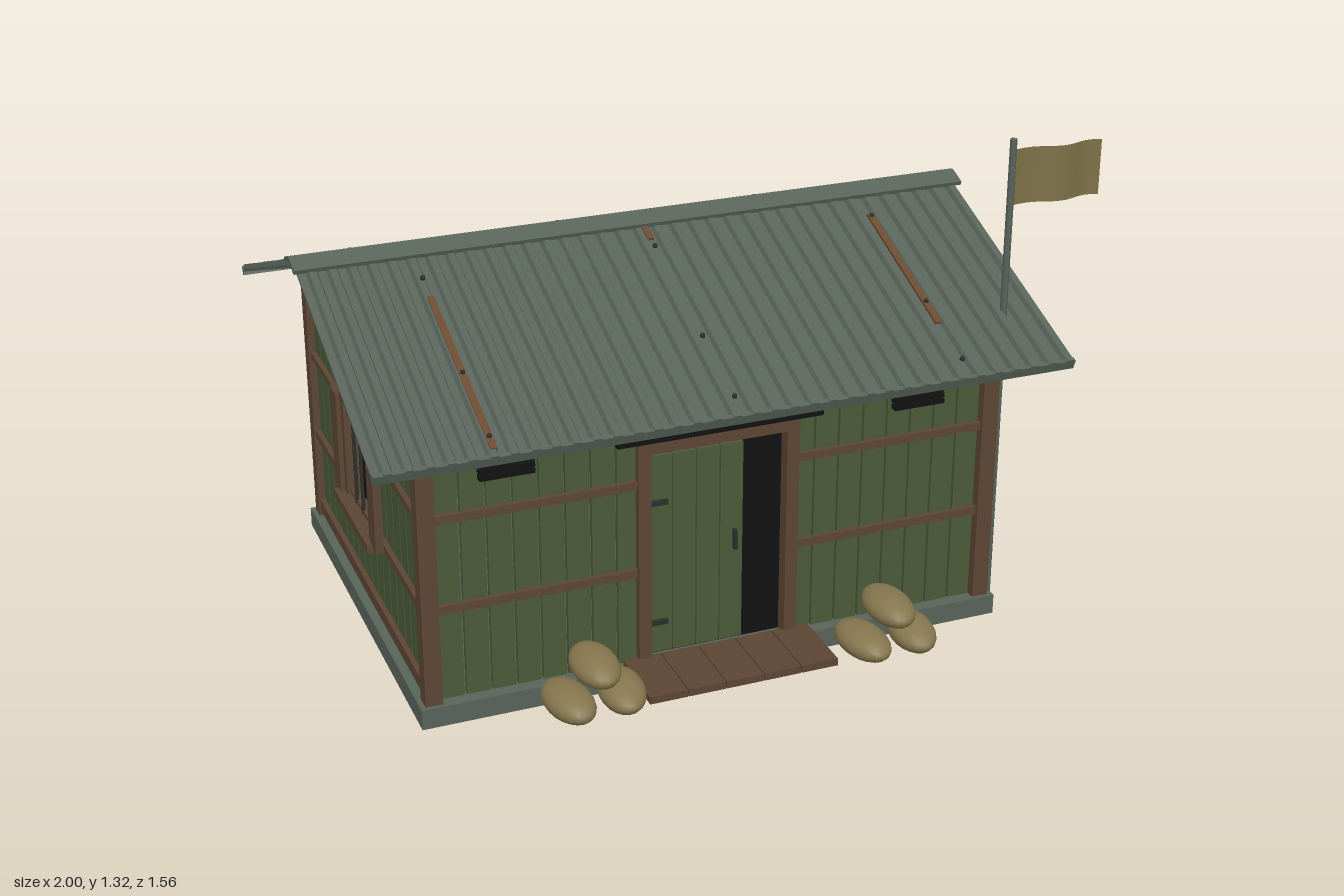
import * as THREE from 'three';

const mat = (name, color) => {
  const m = new THREE.MeshStandardMaterial({ color });
  m.name = name;
  return m;
};

export function createModel() {
  const green = mat('green paint', 0x4a5a38);
  const wood = mat('brown timber', 0x5c4634);
  const metal = mat('grey green metal', 0x58635a);
  const tan = mat('tan canvas', 0x85764e);
  const black = mat('black', 0x111111);
  const rust = mat('rust', 0x6b4a30);
  const dark = mat('dark iron', 0x2c302c);
  const cloth = mat('flag cloth', 0x7d7148);
  cloth.side = THREE.DoubleSide;

  const model = new THREE.Group();
  const CX = -0.0725, CZ = -0.0625;

  const add = (parent, name, geo, m, x = 0, y = 0, z = 0) => {
    const mesh = new THREE.Mesh(geo, m);
    mesh.name = name;
    mesh.position.set(x, y, z);
    parent.add(mesh);
    return mesh;
  };
  // box given by its minimum and maximum on each axis
  const box = (parent, name, m, x0, x1, y0, y1, z0, z1) =>
    add(parent, name, new THREE.BoxGeometry(x1 - x0, y1 - y0, z1 - z0), m,
      (x0 + x1) / 2, (y0 + y1) / 2, (z0 + z1) / 2);
  const group = (name, parent = model) => {
    const g = new THREE.Group();
    g.name = name;
    parent.add(g);
    return g;
  };

  // foundation and corner posts
  box(model, 'foundation', metal, CX - 0.795, CX + 0.795, 0, 0.055, -0.65, 0.525);
  for (const sx of [-1, 1]) for (const sz of [-1, 1])
    add(model, 'cornerPost', new THREE.BoxGeometry(0.045, 0.76, 0.046), wood,
      CX + sx * 0.759, 0.43, CZ + sz * 0.553);

  // plank wall facing local +z, its outer face on z = 0
  function plankWall(name, width, top, angle, dist, opening) {
    const wall = group(name);
    wall.rotation.y = angle;
    wall.position.set(CX + Math.sin(angle) * dist, 0, CZ + Math.cos(angle) * dist);
    const n = Math.round(width / 0.067), pitch = width / n;
    for (let i = 0; i < n; i++) {
      const u = -width / 2 + i * pitch;
      const plank = (a, b) => box(wall, 'plank', green, u + 0.003, u + pitch - 0.003, a, b, -0.015, 0);
      if (opening && Math.abs(u + pitch / 2) < opening.half) {
        if (opening.y0 > 0.06) plank(0.055, opening.y0);
        plank(opening.y1, top);
      } else plank(0.055, top);
    }
    return wall;
  }
  const rail = (wall, x0, x1, y0, y1) => box(wall, 'rail', wood, x0, x1, y0, y1, 0, 0.014);

  // front wall with door
  const front = plankWall('frontWall', 1.475, 0.8, 0, 0.5525, { half: 0.2, y0: 0.055, y1: 0.66 });
  for (const s of [-1, 1])
    for (const y of [0.3, 0.545])
      rail(front, s < 0 ? -0.737 : 0.215, s < 0 ? -0.215 : 0.737, y, y + 0.022);
  rail(front, -0.737, 0.737, 0.735, 0.757);
  box(front, 'doorwayShadow', black, -0.22, 0.22, 0.055, 0.67, -0.025, -0.018);
  for (const s of [-1, 1])
    box(front, 'doorJamb', wood, s * 0.2 - 0.017, s * 0.2 + 0.017, 0.055, 0.67, -0.015, 0.022);
  box(front, 'doorLintel', wood, -0.217, 0.217, 0.64, 0.67, -0.015, 0.023);
  for (let i = 0; i < 4; i++)
    box(front, 'doorPlank', green, -0.183 + i * 0.064, -0.122 + i * 0.064, 0.07, 0.625, -0.016, 0.004);
  for (const y of [0.15, 0.49])
    box(front, 'doorHinge', dark, -0.185, -0.135, y, y + 0.014, 0.004, 0.012);
  box(front, 'doorHandle', dark, 0.043, 0.052, 0.33, 0.385, 0.004, 0.018);
  box(front, 'doorHood', black, -0.275, 0.275, 0.675, 0.742, 0, 0.034);

  // louvred vents
  for (const s of [-1, 1]) {
    box(front, 'ventBacking', dark, s * 0.552 - 0.068, s * 0.552 + 0.068, 0.647, 0.71, 0, 0.004);
    for (let i = 0; i < 4; i++)
      box(front, 'ventSlat', black, s * 0.552 - 0.07, s * 0.552 + 0.07,
        0.645 + i * 0.0175, 0.657 + i * 0.0175, 0, 0.022);
  }

  // back wall
  const back = plankWall('backWall', 1.475, 0.8, Math.PI, 0.5525);
  back.children.forEach((p) => { p.position.x += 0.012; });
  for (const [a, b] of [[0.07, 0.105], [0.303, 0.325], [0.548, 0.567], [0.735, 0.757]])
    rail(back, -0.737, 0.737, a, b);

  // side walls with barred, shuttered windows and gables
  const gableShape = new THREE.Shape([[-0.525, 0.755], [0.525, 0.755], [0.525, 0.81], [0, 1.017], [-0.525, 0.81]]
    .map(([x, y]) => new THREE.Vector2(x, y)));
  const gableGeo = new THREE.ExtrudeGeometry(gableShape, { depth: 0.015, bevelEnabled: false });
  for (const s of [-1, 1]) {
    const side = plankWall(s > 0 ? 'leftWall' : 'rightWall', 1.06, 0.755, s * Math.PI / 2, 0.7625,
      { half: 0.14, y0: 0.31, y1: 0.6 });
    for (const [a, b] of [[0.07, 0.105], [0.303, 0.325], [0.548, 0.567], [0.735, 0.757]])
      rail(side, -0.53, 0.53, a, b);
    add(side, 'gable', gableGeo, green, 0, 0, -0.012);
    const win = group('window', side);
    box(win, 'windowShadow', black, -0.15, 0.15, 0.3, 0.61, -0.025, -0.018);
    for (const t of [-1, 1]) {
      box(win, 'windowJamb', wood, t * 0.137 - 0.013, t * 0.137 + 0.013, 0.305, 0.605, -0.015, 0.024);
      box(win, 'shutter', wood, t * 0.18 - 0.032, t * 0.18 + 0.032, 0.305, 0.6, 0.014, 0.036);
    }
    box(win, 'windowHead', wood, -0.152, 0.152, 0.59, 0.612, -0.015, 0.026);
    box(win, 'windowSill', wood, -0.177, 0.177, 0.29, 0.314, -0.015, 0.05);
    for (let i = -1; i <= 1; i++)
      add(win, 'windowBar', new THREE.CylinderGeometry(0.005, 0.005, 0.28, 8), dark, i * 0.068, 0.45, 0.012);
  }

  // corrugated roof sheet, cross-section in x and y, extruded down the slope
  const W = 1.829, ribs = 36, L = 0.764, slope = Math.atan2(0.27, 0.715);
  const upper = [], lower = [];
  for (let i = 0; i < ribs; i++)
    for (const [f, h] of [[0, 0], [0.4, 0], [0.52, 0.012], [0.88, 0.012]]) {
      const x = -W / 2 + (i + f) * W / ribs;
      upper.push(new THREE.Vector2(x, h));
      lower.push(new THREE.Vector2(x, h - 0.008));
    }
  upper.push(new THREE.Vector2(W / 2, 0));
  lower.push(new THREE.Vector2(W / 2, -0.008));
  const sheetGeo = new THREE.ExtrudeGeometry(new THREE.Shape([...lower, ...upper.reverse()]),
    { depth: L, bevelEnabled: false });
  const boltGeo = new THREE.CylinderGeometry(0.006, 0.007, 0.008, 8);
  const seams = [-0.62, 0, 0.62];
  for (const s of [1, -1]) {
    const half = group(s > 0 ? 'frontRoof' : 'backRoof');
    half.position.set(CX, 0, CZ);
    half.rotation.y = s > 0 ? 0 : Math.PI;
    const pitch = group('roofSlope', half);
    pitch.position.y = 1.037;
    pitch.rotation.x = slope;
    add(pitch, 'roofSheet', sheetGeo, metal);
    box(pitch, 'eaveTrim', metal, -W / 2, W / 2, -0.018, 0.008, L - 0.012, L);
    const streaks = s > 0 ? [[0.2, 0.74], [0.02, 0.1], [0.12, 0.56]] : [[0.02, 0.68], [0.02, 0.09], [0.02, 0.68]];
    seams.forEach((x, i) => {
      box(pitch, 'rustStreak', rust, s * x - 0.009, s * x + 0.009, 0.008, 0.015, ...streaks[i]);
      for (const d of [0.13, 0.48, 0.7]) add(pitch, 'roofBolt', boltGeo, dark, s * x, 0.016, d);
    });
    // ridge cap wing
    box(pitch, 'ridgeCap', metal, -0.927, 0.927, 0.01, 0.022, -0.006, 0.05);
  }

  // doorstep planks and supporting lip
  const step = group('doorstep');
  for (let i = 0; i < 5; i++)
    box(step, 'stepPlank', wood, -0.33 + i * 0.103, -0.23 + i * 0.103, 0.048, 0.068, 0.5, 0.692);
  box(step, 'stepBatten', wood, -0.32, 0.175, 0.04, 0.05, 0.53, 0.56);

  // sandbags: two below and one above, either side of the door
  const bagGeo = new THREE.SphereGeometry(1, 20, 12);
  bagGeo.scale(0.059, 0.039, 0.101);
  for (const x of [-0.47, 0.325]) {
    const pile = group('sandbagPile');
    [[-0.069, 0.1, 0.12], [0.069, 0.1, -0.12], [0, 0.186, 0]].forEach(([dx, y, turn]) => {
      add(pile, 'sandbag', bagGeo, tan, x + dx, y, 0.68).rotation.y = turn;
    });
  }

  // flagpole and waving flag
  add(model, 'flagpole', new THREE.CylinderGeometry(0.009, 0.01, 1.315, 12), metal, 0.74, 0.6575, 0.455);
  for (const y of [0.2, 0.65])
    box(model, 'poleBracket', dark, 0.69, 0.74, y, y + 0.016, 0.448, 0.462);
  const flagGeo = new THREE.PlaneGeometry(0.255, 0.148, 24, 1);
  const p = flagGeo.attributes.position;
  for (let i = 0; i < p.count; i++) {
    const t = p.getX(i) / 0.255 + 0.5;
    p.setZ(i, -0.013 * Math.sin(t * 9) * (0.4 + 0.6 * t));
    p.setY(i, p.getY(i) - 0.004 * t);
  }
  flagGeo.computeVertexNormals();
  add(model, 'flag', flagGeo, cloth, 0.8725, 1.212, 0.455);

  return model;
}
